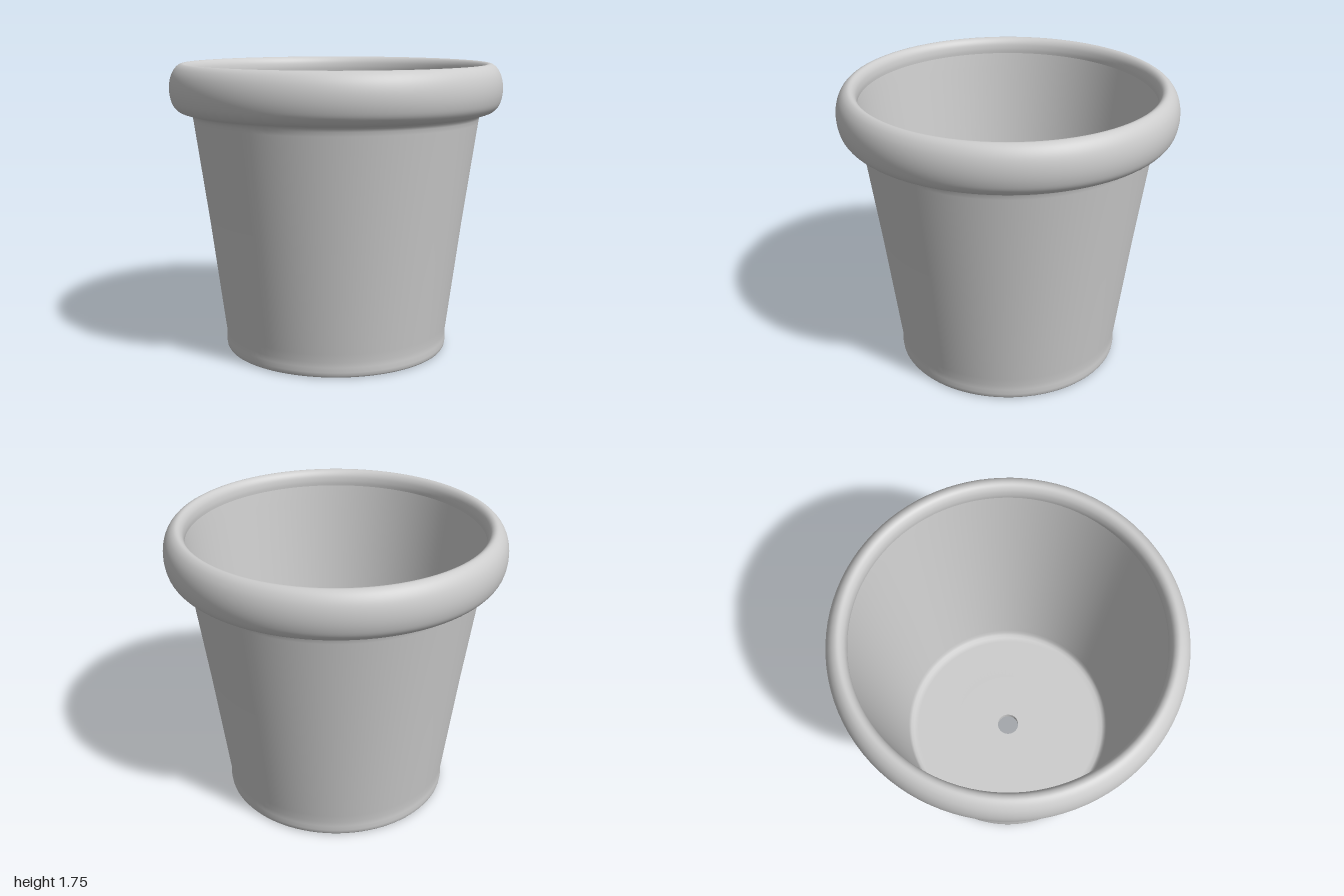
import * as THREE from 'three';

const SEGMENTS = 96;

// Revolves a profile of [radius, height] points; counter-clockwise order faces outwards
function revolve(name, points, material) {
  const profile = points.map(([r, y]) => new THREE.Vector2(r, y));
  const mesh = new THREE.Mesh(new THREE.LatheGeometry(profile, SEGMENTS), material);
  mesh.name = name;
  return mesh;
}

// Smooth run of points through a few control points
function smooth(points, count) {
  const curve = new THREE.SplineCurve(points.map(([r, y]) => new THREE.Vector2(r, y)));
  return curve.getPoints(count).map((p) => [p.x, p.y]);
}

export function createModel() {
  const pot = new THREE.Group();
  pot.name = 'flowerPot';
  const clay = new THREE.MeshStandardMaterial({ color: 0xcccccc });
  clay.name = 'grey clay';

  // Tapered outer wall with a rounded foot, ending in a fillet under the rim
  pot.add(revolve('outerWall', [
    [0.625, 0.08], [0.625, 0.03], [0.632, 0.012], [0.645, 0.005],
    [0.665, 0.005], [0.677, 0.01], [0.684, 0.02], [0.687, 0.04],
    [0.686, 0.07], [0.685, 0.1], [0.692, 0.15], [0.775, 0.8], [0.86, 1.41],
    [0.864, 1.435], [0.872, 1.452], [0.885, 1.462], [0.9, 1.466],
  ], clay));

  // Thick rolled rim
  pot.add(revolve('rim', smooth([
    [0.885, 1.462], [0.91, 1.467], [0.95, 1.482], [0.98, 1.515], [0.995, 1.56],
    [1.0, 1.61], [0.995, 1.66], [0.98, 1.705], [0.955, 1.74], [0.925, 1.757],
    [0.9, 1.75], [0.882, 1.725], [0.875, 1.69], [0.876, 1.66],
  ], 52), clay));

  // Inner wall, rounded into the floor
  pot.add(revolve('innerWall', [
    [0.876, 1.66], [0.865, 1.58], [0.77, 0.86], [0.683, 0.18], [0.678, 0.15],
    [0.668, 0.13], [0.65, 0.12], [0.62, 0.117], [0.35, 0.117], [0.07, 0.117],
  ], clay));

  // Recessed underside and drain hole
  pot.add(revolve('underside', [[0.07, 0.08], [0.35, 0.08], [0.625, 0.08]], clay));
  pot.add(revolve('drainHole', [[0.07, 0.117], [0.07, 0.08]], clay));

  return pot;
}
